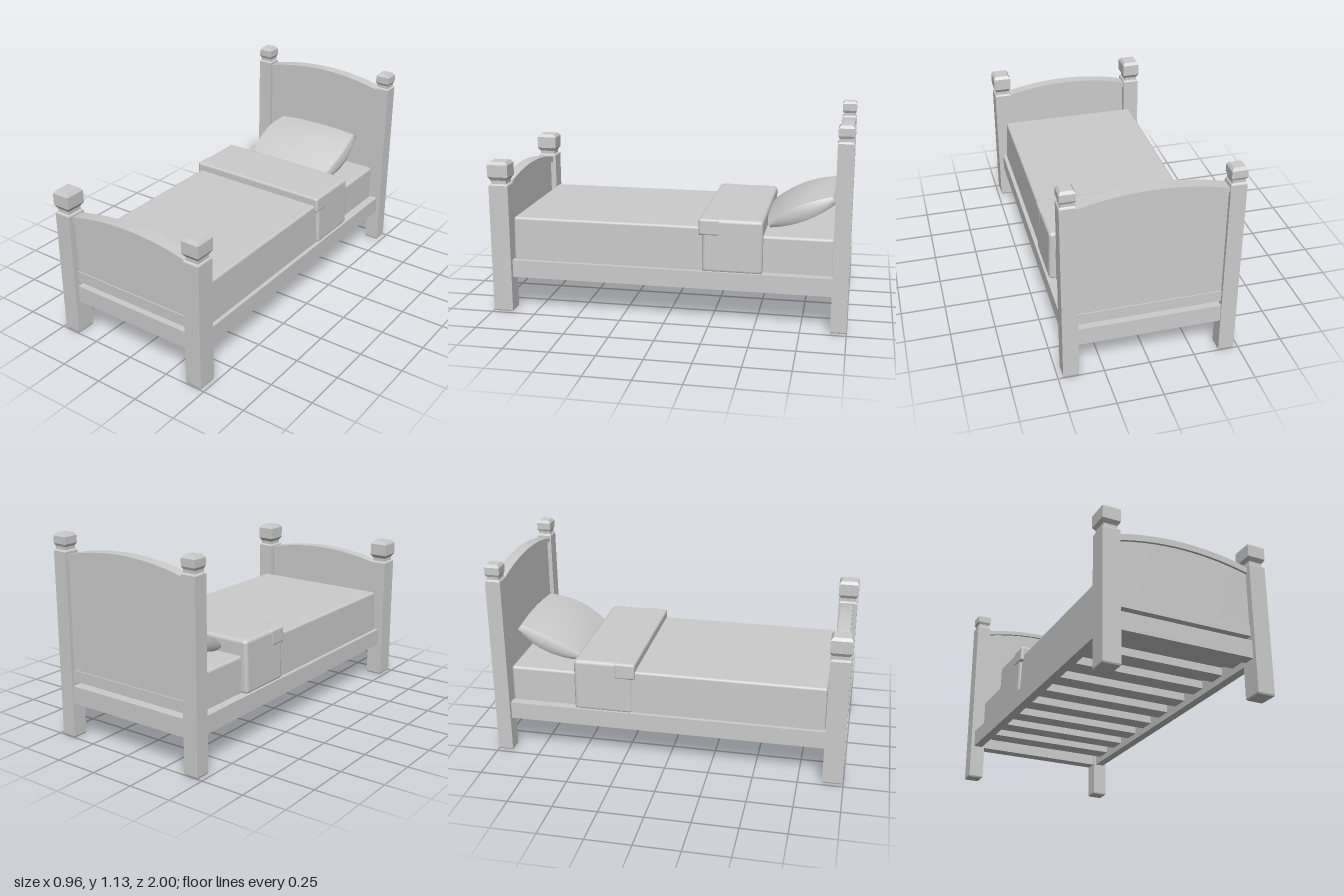
import * as THREE from 'three';
import { RoundedBoxGeometry } from 'three/addons/geometries/RoundedBoxGeometry.js';

const flat = new THREE.MeshStandardMaterial({ color: 0xcccccc, flatShading: true });
const smooth = new THREE.MeshStandardMaterial({ color: 0xcccccc });

export function createModel() {
  const bed = new THREE.Group();

  function add(name, geometry, x = 0, y = 0, z = 0, material = flat) {
    const mesh = new THREE.Mesh(geometry, material);
    mesh.name = name;
    mesh.position.set(x, y, z);
    bed.add(mesh);
    return mesh;
  }

  // Box given by its limits
  function block(name, x0, x1, y0, y1, z0, z1) {
    return add(name, new THREE.BoxGeometry(x1 - x0, y1 - y0, z1 - z0),
      (x0 + x1) / 2, (y0 + y1) / 2, (z0 + z1) / 2);
  }

  // Square post turned from a profile of [half width, height]
  function post(name, profile, x, z, depthScale) {
    const points = profile.map(([r, y]) => new THREE.Vector2(r * Math.SQRT2, y));
    const geometry = new THREE.LatheGeometry(points, 4, Math.PI / 4);
    geometry.scale(1, 1, depthScale);
    add(name, geometry, x, 0, z);
  }

  const headProfile = [[0, 0], [0.04, 0], [0.043, 0.008], [0.043, 1.04], [0.04, 1.045],
    [0.035, 1.05], [0.035, 1.066], [0.042, 1.08], [0.042, 1.12], [0.031, 1.135], [0, 1.135]];
  const footProfile = [[0, 0], [0.046, 0], [0.049, 0.008], [0.049, 0.737], [0.046, 0.742],
    [0.039, 0.746], [0.039, 0.765], [0.052, 0.786], [0.052, 0.855], [0.04, 0.872], [0, 0.872]];
  for (const [side, s] of [['left', 1], ['right', -1]]) {
    post(side + 'HeadPost', headProfile, s * 0.43, -0.957, 1);
    post(side + 'FootPost', footProfile, s * 0.43, 0.94, 1.14);
  }

  // Board with an arched top; the lower edge is straight or follows the arch
  function arched(name, half, top, rise, bottom, bottomRise, z0, z1) {
    const shape = new THREE.Shape();
    shape.moveTo(-half, bottom);
    shape.quadraticCurveTo(0, bottom + 2 * bottomRise, half, bottom);
    shape.lineTo(half, top);
    shape.quadraticCurveTo(0, top + 2 * rise, -half, top);
    shape.closePath();
    const geometry = new THREE.ExtrudeGeometry(shape,
      { depth: z1 - z0, bevelEnabled: false, curveSegments: 14 });
    add(name, geometry, 0, 0, z0);
  }

  // End boards: recessed panel, arched cap, lower moulding, and a separate rail below
  function endBoard(name, half, edge, rise, cap, z0, z1) {
    arched(name + 'Panel', half, edge - cap / 2, rise, 0.34, 0, z0 + 0.014, z1 - 0.014);
    arched(name + 'Cap', half, edge, rise, edge - cap, rise, z0, z1);
    block(name + 'Moulding', -half, half, 0.327, 0.39, z0 + 0.007, z1 - 0.007);
    block(name + 'Rail', -half, half, 0.2, 0.3, z0, z1);
  }
  endBoard('headboard', 0.395, 1.025, 0.052, 0.025, -0.993, -0.925);
  endBoard('footboard', 0.39, 0.728, 0.05, 0.036, 0.903, 0.972);

  // Side rails and slats
  for (const [side, s] of [['left', 1], ['right', -1]]) {
    add(side + 'SideRail', new THREE.BoxGeometry(0.05, 0.1, 1.81), s * 0.427, 0.25, -0.015);
  }
  const slats = 9;
  for (let i = 0; i < slats; i++) {
    const z = -0.8 + i * 0.2;
    block('slat', -0.405, 0.405, 0.235, 0.28, z - 0.05, z + 0.05);
  }

  // Bedding block whose sides widen towards the bottom
  function bedding(name, half, y0, y1, z0, z1, radius, flare) {
    const h = y1 - y0;
    const geometry = new RoundedBoxGeometry(half * 2, h, z1 - z0, 3, radius);
    const p = geometry.attributes.position;
    for (let i = 0; i < p.count; i++) {
      const t = 0.5 - p.getY(i) / h;
      p.setX(i, p.getX(i) + Math.sign(p.getX(i)) * flare * t);
    }
    return add(name, geometry, 0, (y0 + y1) / 2, (z0 + z1) / 2, smooth);
  }
  bedding('mattress', 0.4, 0.28, 0.505, -0.915, 0.87, 0.016, 0);
  bedding('blanket', 0.418, 0.28, 0.545, -0.5, 0.88, 0.014, 0.012);
  bedding('foldedBlanket', 0.432, 0.29, 0.593, -0.535, -0.2, 0.022, 0.008);
  bedding('foldEdge', 0.434, 0.5, 0.593, -0.3, -0.182, 0.014, 0.004);

  // Pillow: barrel outline, domed faces and a soft rim
  const pillowGeometry = new THREE.BoxGeometry(2, 2, 2, 12, 2, 10);
  const p = pillowGeometry.attributes.position;
  for (let i = 0; i < p.count; i++) {
    const u = p.getX(i), w = p.getY(i), v = p.getZ(i);
    const rim = 0.94 + 0.06 * (1 - w * w);
    const x = u * rim * (0.28 + 0.03 * (1 - v * v));
    const z = v * (0.195 + 0.012 * (1 - u * u)) * (0.97 + 0.03 * (1 - w * w));
    const y = w * (0.022 + 0.036 * (1 - v * v) * (1 - 0.35 * u * u) + 0.006 * (1 - u * u));
    p.setXYZ(i, x, y, z);
  }
  pillowGeometry.computeVertexNormals();
  const pillow = add('pillow', pillowGeometry, 0, 0.612, -0.727, smooth);
  pillow.rotation.x = 0.4;

  return bed;
}
